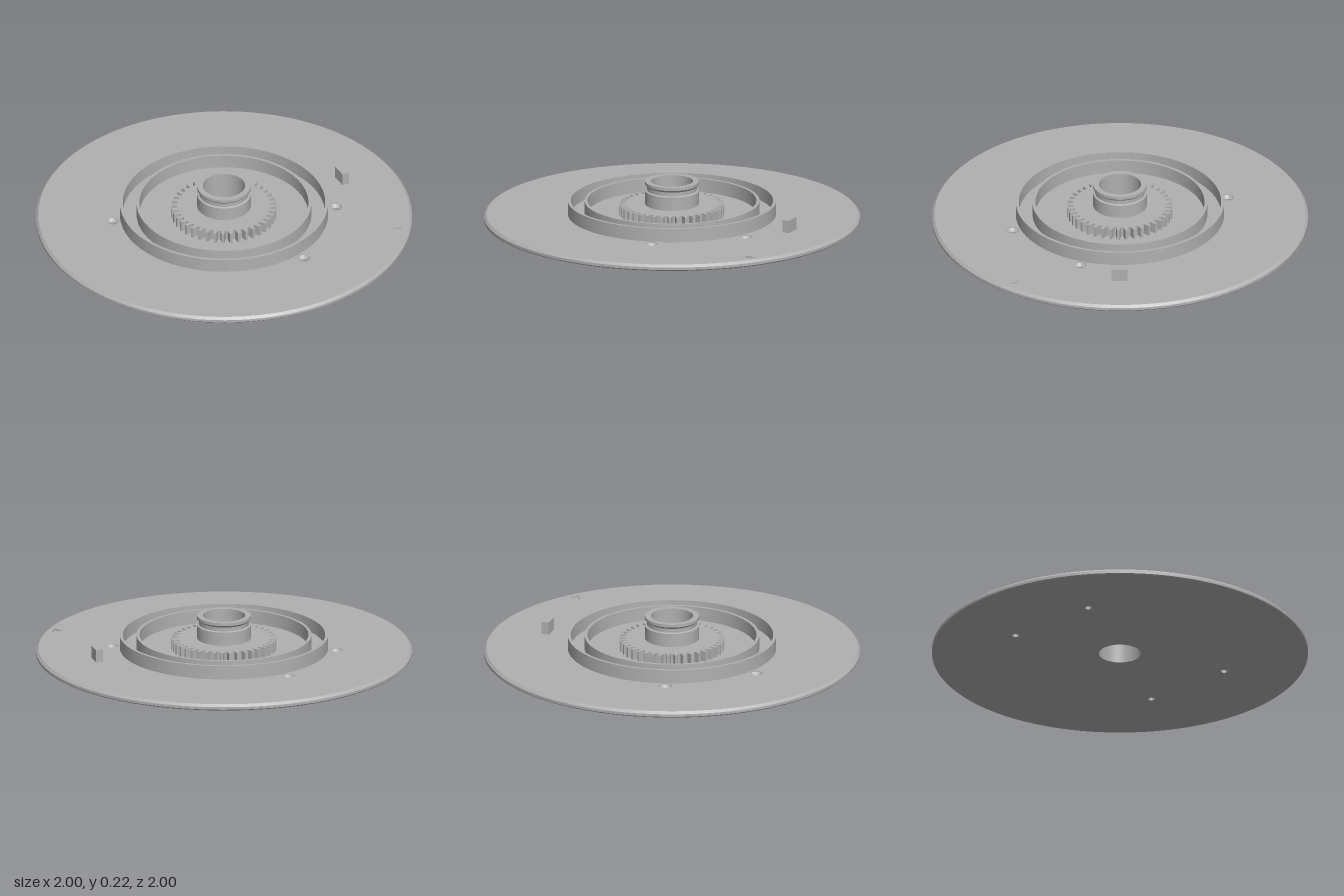
import * as THREE from 'three';
import { toCreasedNormals } from 'three/addons/utils/BufferGeometryUtils.js';

const TOP = 0.033;      // top of the disc
const BORE = 0.112;     // central hole radius
const SEGS = 128;

export function createModel() {
  const model = new THREE.Group();
  model.name = 'gearedDisc';
  const grey = new THREE.MeshStandardMaterial({ color: 0xb0b0b0, side: THREE.DoubleSide });
  grey.name = 'grey';

  const add = (name, geometry, x = 0, y = 0, z = 0) => {
    const mesh = new THREE.Mesh(geometry, grey);
    mesh.name = name;
    mesh.position.set(x, y, z);
    model.add(mesh);
    return mesh;
  };
  const lathe = (points, segments = SEGS) => toCreasedNormals(
    new THREE.LatheGeometry(points.map(([r, y]) => new THREE.Vector2(r, y)), segments), 0.4);
  const circle = (x, y, r) => new THREE.Path().absarc(x, y, r, 0, Math.PI * 2, true);

  const screws = [];
  for (const x of [-0.538, 0.538]) for (const z of [-0.26, 0.26]) screws.push([x, z]);

  // Index mark: a shallow triangular pocket near the rim
  const mark = { x: 0.925, z: -0.169, r: 0.034, depth: 0.008, turn: Math.PI / 4 };
  const markPoints = [0, 1, 2].map((k) => {
    const a = mark.turn + k * Math.PI * 2 / 3;
    return new THREE.Vector2(mark.x + mark.r * Math.sin(a), -(mark.z + mark.r * Math.cos(a)));
  });

  // Flat disc face with its bore and screw holes
  const discFace = (radius, holeRadius) => {
    const shape = new THREE.Shape().absarc(0, 0, radius, 0, Math.PI * 2);
    shape.holes.push(circle(0, 0, BORE));
    for (const [x, z] of screws) shape.holes.push(circle(x, -z, holeRadius));
    return shape;
  };
  const topShape = discFace(0.987, 0.033);
  topShape.holes.push(new THREE.Path(markPoints));
  add('discTop', new THREE.ShapeGeometry(topShape, 64).rotateX(-Math.PI / 2), 0, TOP, 0);
  add('discUnderside', new THREE.ShapeGeometry(discFace(0.994, 0.018), 64).rotateX(Math.PI / 2));
  add('discRim', lathe([[0.994, 0], [1, 0.006], [1, 0.02], [0.987, TOP]]));

  // Countersunk screw holes
  for (const [x, z] of screws) {
    add('screwHole', lathe([[0.033, TOP], [0.033, 0.03], [0.018, 0.015], [0.018, 0]], 32), x, 0, z);
  }

  // Walls and floor of the index mark
  add('markWalls', toCreasedNormals(
    new THREE.CylinderGeometry(mark.r, mark.r, mark.depth, 3, 1, true, mark.turn), 0.4),
  mark.x, TOP - mark.depth / 2, mark.z);
  add('markFloor', new THREE.ShapeGeometry(new THREE.Shape(markPoints)).rotateX(-Math.PI / 2),
    0, TOP - mark.depth, 0);

  // Two concentric raised walls
  const ring = (outer, inner, top) => lathe(
    [[outer, TOP], [outer, top], [inner, top], [inner, TOP]]);
  add('outerRing', ring(0.554, 0.538, 0.107));
  add('innerRing', ring(0.465, 0.449, 0.107));

  // Spur gear around the hub
  const teeth = 40;
  const gear = new THREE.Shape();
  for (let i = 0; i < teeth; i++) {
    [[-0.32, 0.247], [-0.16, 0.28], [0.16, 0.28], [0.32, 0.247]].forEach(([t, r], j) => {
      const a = (i + t) * Math.PI * 2 / teeth;
      gear[i + j ? 'lineTo' : 'moveTo'](r * Math.cos(a), r * Math.sin(a));
    });
  }
  gear.closePath();
  gear.holes.push(circle(0, 0, 0.13));
  add('gear', new THREE.ExtrudeGeometry(gear, { depth: 0.057, bevelEnabled: false, curveSegments: 32 })
    .rotateX(-Math.PI / 2), 0, TOP, 0);

  // Hollow hub with a retaining groove; its inside is the bore through the disc
  add('hub', lathe([
    [0.143, TOP], [0.143, 0.163], [0.132, 0.167], [0.132, 0.188], [0.143, 0.199],
    [0.143, 0.215], [BORE, 0.215], [BORE, 0],
  ]));

  // Locating block
  const block = add('locatingBlock', new THREE.BoxGeometry(0.086, 0.07, 0.038), 0.485, TOP + 0.033, -0.513);
  block.rotation.y = -0.75;

  return model;
}
